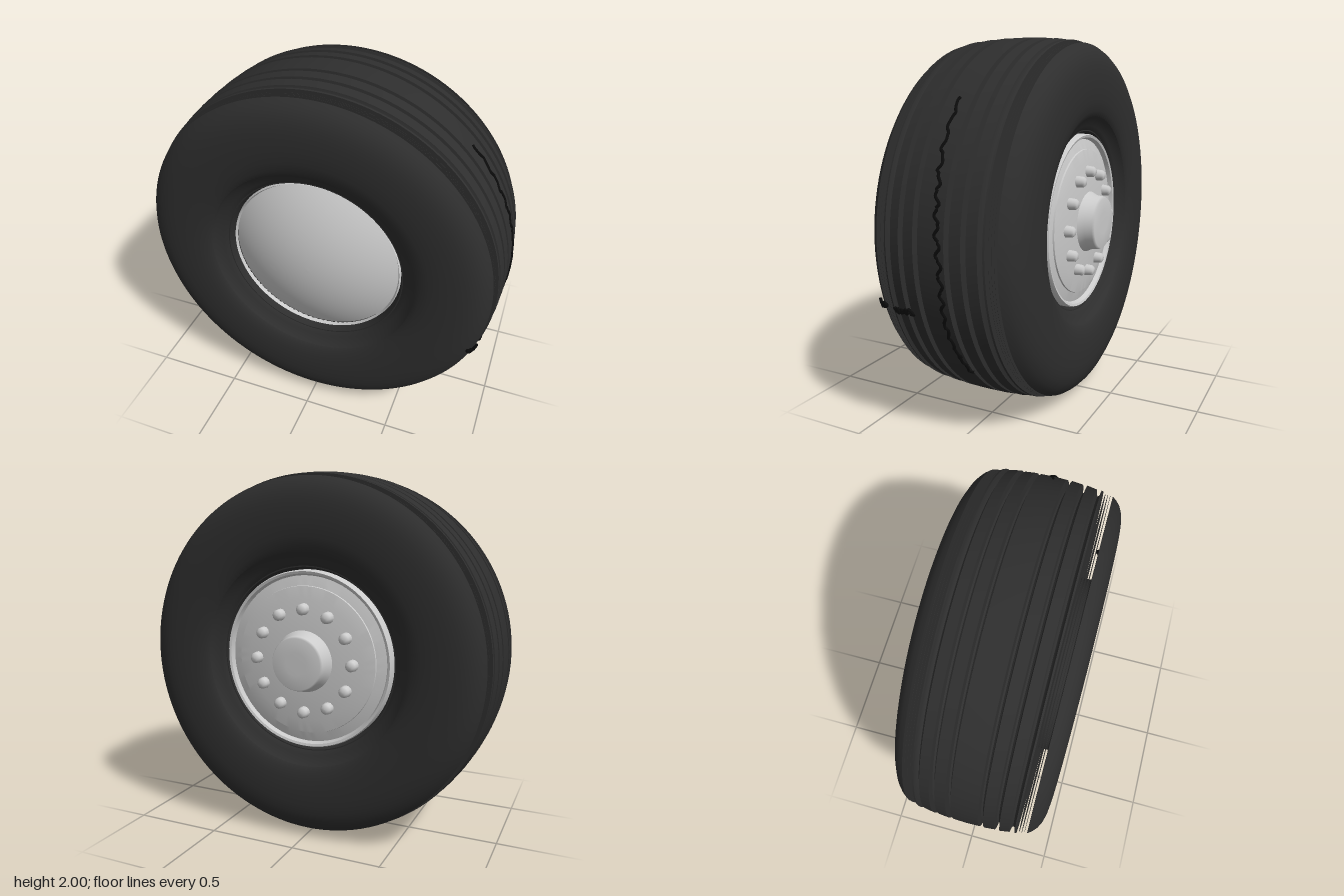
import * as THREE from 'three';
import { toCreasedNormals } from 'three/addons/utils/BufferGeometryUtils.js';

const MID = 0.0225; // tyre's middle plane along z

// Lathe a list of [radius, z] around the z axis
function latheZ(profile, segments, crease) {
  const pts = profile.map(([r, z]) => new THREE.Vector2(r, z));
  const geo = new THREE.LatheGeometry(pts, segments).rotateX(Math.PI / 2);
  return crease ? toCreasedNormals(geo, crease) : geo;
}

const treadRadius = (d) => 1 - 0.25 * d * d;

// Half of the tyre section as [radius, distance from the middle plane]
function tyreHalf() {
  const p = [[1, 0]];
  for (const d of [0.085, 0.17, 0.25]) { // round-bottomed tread grooves
    p.push([treadRadius(d), d - 0.014], [0.957, d - 0.008], [0.95, d], [0.957, d + 0.008], [treadRadius(d), d + 0.014]);
  }
  p.push([0.982, 0.273], [0.5, 0.273]);
  for (const d of [0.287, 0.301, 0.315]) { // thin fins in the deep shoulder slot
    p.push([0.5, d - 0.0008], [0.97, d - 0.0004], [0.97, d + 0.0004], [0.5, d + 0.0008]);
  }
  p.push([0.5, 0.329], [0.967, 0.329]);
  // rounded shoulder, sidewall and bead
  p.push([0.95, 0.353], [0.925, 0.376], [0.89, 0.394], [0.85, 0.405], [0.8, 0.411], [0.73, 0.4125],
    [0.66, 0.408], [0.61, 0.398], [0.58, 0.384], [0.57, 0.365], [0.53, 0.345], [0.5, 0.325], [0.485, 0.29], [0.48, 0.2]);
  return p;
}

// Jagged scar lying on the tread, from [angle, z] waypoints
function scar(name, waypoints, steps, wiggle, radius, material) {
  const guide = new THREE.CatmullRomCurve3(waypoints.map(([a, z]) => new THREE.Vector3(a, z, 0)));
  const pts = [];
  for (let i = 0; i <= steps; i++) {
    const g = guide.getPoint(i / steps);
    const z = g.y + wiggle * Math.sin(i * 2.3) * Math.cos(i * 0.9);
    const d = Math.abs(z - MID);
    const r = d < 0.3 ? treadRadius(d) : 0.975 - 4 * Math.max(0, d - 0.32) ** 2 * 2.2;
    const a = g.x + wiggle * 0.8 * Math.sin(i * 1.7);
    pts.push(new THREE.Vector3(r * Math.cos(a), r * Math.sin(a), z));
  }
  const mesh = new THREE.Mesh(new THREE.TubeGeometry(new THREE.CatmullRomCurve3(pts), steps * 3, radius, 5), material);
  mesh.name = name;
  return mesh;
}

export function createModel() {
  const model = new THREE.Group();
  model.name = 'wheel';
  const wheel = new THREE.Group();
  wheel.name = 'wheelAssembly';
  wheel.position.y = 1;
  model.add(wheel);

  const rubber = new THREE.MeshStandardMaterial({ color: 0x2e2e2e, side: THREE.DoubleSide });
  const black = new THREE.MeshStandardMaterial({ color: 0x0c0c0c });
  const metal = new THREE.MeshStandardMaterial({ color: 0xcccccc, side: THREE.DoubleSide });
  const add = (name, geo, mat, parent = wheel) => {
    const mesh = new THREE.Mesh(geo, mat);
    mesh.name = name;
    parent.add(mesh);
    return mesh;
  };

  // Tyre: the half section mirrored about the middle plane
  const half = tyreHalf();
  const back = half.slice(1).reverse().map(([r, d]) => [r, MID - d]);
  const front = half.map(([r, d]) => [r, MID + d]);
  add('tyre', latheZ([...back, ...front], 128, 0.65), rubber);

  // Rim: shallow cone with a step and lip at the back, barrel through the tyre
  add('rim', latheZ([
    [0, -0.345], [0.17, -0.345], [0.33, -0.33], [0.4, -0.318], [0.402, -0.31], [0.455, -0.295],
    [0.465, -0.318], [0.478, -0.322], [0.484, -0.31], [0.484, 0.31], [0.478, 0.325], [0.47, 0.31],
  ], 96, 0.5), metal);

  // Smooth domed cover on the front
  const dome = [];
  const R = 0.95, edge = Math.asin(0.475 / R);
  for (let i = 0; i <= 16; i++) {
    const a = edge * (1 - i / 16);
    dome.push([R * Math.sin(a), 0.425 - R * (1 - Math.cos(a))]);
  }
  add('frontCover', latheZ(dome, 96), metal);

  // Centre hub with softly shaded end
  add('hub', latheZ([[0, -0.435], [0.06, -0.435], [0.138, -0.434], [0.146, -0.42], [0.15, -0.38], [0.17, -0.34]], 48), metal);

  // Ring of wheel nuts
  const nuts = new THREE.Group();
  nuts.name = 'wheelNuts';
  wheel.add(nuts);
  const nutGeo = latheZ([[0, -0.383], [0.018, -0.382], [0.029, -0.37], [0.033, -0.325]], 12);
  for (let i = 0; i < 12; i++) {
    const a = (i * Math.PI) / 6;
    add('wheelNut', nutGeo, metal, nuts).position.set(0.28 * Math.sin(a), 0.28 * Math.cos(a), 0);
  }

  // Cuts in the tread on the left side
  wheel.add(scar('longTreadCut', [[0.77, 0.02], [0.4, 0.01], [0.1, -0.015], [-0.2, -0.02], [-0.45, -0.01], [-0.7, -0.04]], 70, 0.016, 0.009, black));
  wheel.add(scar('shoulderCut', [[-0.33, 0.4], [-0.32, 0.35]], 14, 0.022, 0.008, black));
  wheel.add(scar('treadCut', [[-0.33, 0.28], [-0.32, 0.18]], 18, 0.022, 0.008, black));
  return model;
}
